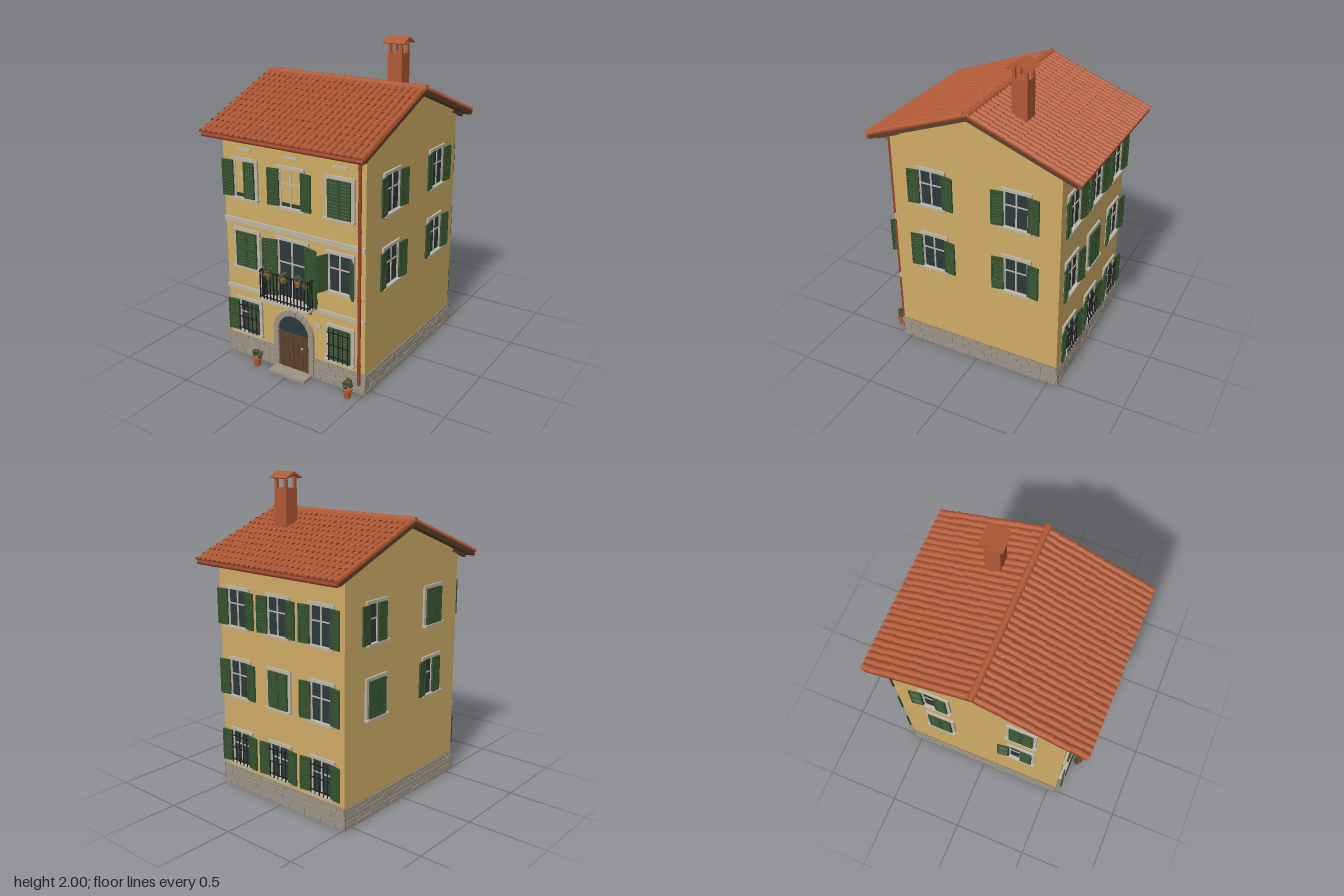
import * as THREE from 'three';
import { mergeGeometries } from 'three/addons/utils/BufferGeometryUtils.js';

const mat = (name, color, side = THREE.FrontSide) => {
  const m = new THREE.MeshStandardMaterial({ color, side });
  m.name = name;
  return m;
};

export function createModel() {
  const house = new THREE.Group();
  house.name = 'house';
  const M = {
    wall: mat('ochre plaster', 0xcfac66),
    stone: mat('grey stone', 0x9d9385),
    mortar: mat('dark mortar', 0x756c60),
    trim: mat('pale trim', 0xbeb6a8),
    green: mat('shutter green', 0x35522f),
    glass: mat('dark glass', 0x2c393c),
    wood: mat('brown wood', 0x5b4029),
    iron: mat('black iron', 0x20211f),
    tile: mat('terracotta tile', 0xb05835, THREE.DoubleSide),
    red: mat('rust red', 0x98432a),
  };
  let seed = 7;
  const rnd = () => (seed = (seed * 16807) % 2147483647) / 2147483647;

  const add = (parent, name, geo, material, x = 0, y = 0, z = 0) => {
    const m = new THREE.Mesh(geo, material);
    m.name = name;
    m.position.set(x, y, z);
    parent.add(m);
    return m;
  };
  const box = (p, name, material, w, h, d, x, y, z) => add(p, name, new THREE.BoxGeometry(w, h, d), material, x, y, z);
  const boxGeo = (w, h, d, x, y, z, rx = 0) => new THREE.BoxGeometry(w, h, d).rotateX(rx).translate(x, y, z);
  const group = (parent, name, x = 0, y = 0, z = 0, ry = 0) => {
    const g = new THREE.Group();
    g.name = name;
    g.position.set(x, y, z);
    g.rotation.y = ry;
    parent.add(g);
    return g;
  };

  const HX = 0.503, HZ = 0.555, SLOPE = Math.atan(0.38);

  // Plaster walls with gables, one solid along x
  const profile = new THREE.Shape();
  profile.moveTo(-HZ, 0.002).lineTo(HZ, 0.002).lineTo(HZ, 1.515).lineTo(0, 1.724).lineTo(-HZ, 1.515);
  add(house, 'walls', new THREE.ExtrudeGeometry(profile, { depth: 2 * HX, bevelEnabled: false })
    .translate(0, 0, -HX).rotateY(Math.PI / 2), M.wall);

  // One group per facade: local x runs along the wall, local z points outward
  const facades = {
    front: group(house, 'frontFacade', 0, 0, HZ, 0),
    back: group(house, 'backFacade', 0, 0, -HZ, Math.PI),
    left: group(house, 'leftFacade', HX, 0, 0, Math.PI / 2),
    right: group(house, 'rightFacade', -HX, 0, 0, -Math.PI / 2),
  };

  // Stone plinth: mortar bed with irregular courses
  const plinth = (f, x0, x1) => {
    box(f, 'plinthBed', M.mortar, x1 - x0, 0.134, 0.006, (x0 + x1) / 2, 0.067, 0.003);
    const stones = [];
    const rows = [0.03, 0.022, 0.032, 0.024, 0.027];
    let y = 0;
    for (const h of rows) {
      for (let x = x0; x < x1 - 0.001;) {
        let w = 0.05 + rnd() * 0.09;
        if (x1 - x - w < 0.04) w = x1 - x;
        const d = 0.009 + rnd() * 0.004;
        stones.push(boxGeo(w - 0.003, h - 0.003, d, x + w / 2, y + h / 2, d / 2));
        x += w;
      }
      y += h;
    }
    add(f, 'plinthStones', mergeGeometries(stones), M.stone);
  };
  plinth(facades.front, -0.514, -0.143);
  plinth(facades.front, 0.143, 0.514);
  plinth(facades.back, -0.514, 0.514);
  plinth(facades.left, -0.565, 0.565);
  plinth(facades.right, -0.565, 0.565);

  // Louvred shutter leaf, hinged at local x = 0 and reaching toward dir
  const leafGeo = (w, h, dir) => {
    const x = dir * w / 2, parts = [boxGeo(w - 0.004, h, 0.004, x, 0, 0)];
    for (const s of [-1, 1]) {
      parts.push(boxGeo(0.01, h, 0.011, x + s * (w / 2 - 0.006), 0, 0));
      parts.push(boxGeo(w - 0.003, 0.014, 0.011, x, s * (h / 2 - 0.007), 0));
    }
    parts.push(boxGeo(w - 0.003, 0.012, 0.011, x, 0, 0));
    const n = Math.round(h / 0.019);
    for (let i = 1; i < n; i++) parts.push(boxGeo(w - 0.02, 0.011, 0.003, x, -h / 2 + (i * h) / n, 0, -0.6));
    return mergeGeometries(parts);
  };

  // Window: frame, panes, sill, optional bars; shutter angles in degrees (0 closed, 172 open)
  const windowAt = (f, u, y0, y1, a = 172, b = 172, o = {}) => {
    const w = o.w || 0.155, h = y1 - y0, g = group(f, 'window', u, y0, 0);
    box(g, 'pane', o.bright ? M.wall : M.glass, w, h, 0.004, 0, h / 2, 0.003);
    if (o.bright) box(g, 'paneFoot', M.glass, w * 0.85, 0.022, 0.004, 0, 0.012, 0.006);
    for (const s of [-1, 1]) {
      box(g, 'frameSide', M.trim, 0.02, h + 0.02, 0.013, s * (w / 2 + 0.01), h / 2 + 0.01, 0.0065);
      box(g, 'sash', M.trim, 0.008, h, 0.008, s * (w / 2 - 0.004), h / 2, 0.005);
    }
    box(g, 'lintel', M.trim, w + 0.04, 0.02, 0.013, 0, h + 0.01, 0.0065);
    box(g, 'mullion', M.trim, 0.01, h, 0.008, 0, h / 2, 0.006);
    box(g, 'transom', M.trim, w, 0.008, 0.008, 0, h * 0.62, 0.006);
    if (!o.door) box(g, 'sill', M.trim, w + 0.05, 0.014, 0.03, 0, -0.007, 0.015);
    for (const [s, ang] of [[-1, a], [1, b]]) {
      const leaf = add(g, 'shutter', leafGeo(w / 2, h, -s), M.green, s * w / 2, h / 2, 0.019);
      leaf.rotation.y = s * THREE.MathUtils.degToRad(ang);
    }
    if (o.bars) {
      const bars = [];
      for (let i = -2; i <= 2; i++) bars.push(boxGeo(0.005, h, 0.005, i * w * 0.21, h / 2, 0.032));
      for (const k of [0.12, 0.5, 0.88]) bars.push(boxGeo(w, 0.005, 0.006, 0, h * k, 0.032));
      add(g, 'windowBars', mergeGeometries(bars), M.iron);
    }
  };
  const TOP = [1.083, 1.308], MID = [0.632, 0.858], LOW = [0.18, 0.39];
  const C = 0.337, F = facades.front;
  windowAt(F, -C, ...TOP, 172, 0, { bright: true });
  windowAt(F, 0, ...TOP, 172, 172, { bright: true });
  windowAt(F, C, ...TOP, 0, 0);
  windowAt(F, -C, ...MID, 0, 0);
  windowAt(F, 0, 0.5, 0.865, 165, 165, { w: 0.2, door: true });
  windowAt(F, C, ...MID, 112, 132);
  windowAt(F, -C, ...LOW, 172, 0, { bars: true });
  windowAt(F, C, ...LOW, 0, 0, { bars: true });
  for (const x of [-C, 0, C]) {
    windowAt(facades.back, x, ...TOP);
    windowAt(facades.back, x, ...MID, x ? 172 : 0, x ? 172 : 0);
    windowAt(facades.back, x, ...LOW, 172, 172, { bars: true });
    box(F, 'eaveVent', M.trim, 0.1, 0.013, 0.008, x, 1.38, 0.004);
  }
  for (const x of [-0.28, 0.28]) {
    windowAt(facades.left, x, ...TOP);
    windowAt(facades.left, x, ...MID);
  }
  windowAt(facades.right, -0.28, ...TOP, 172, 0);
  windowAt(facades.right, 0.28, ...TOP, 0, 0);
  windowAt(facades.right, -0.28, ...MID, 0, 0);
  windowAt(facades.right, 0.28, ...MID, 172, 0);

  // String courses
  box(F, 'upperStringCourse', M.trim, 1.01, 0.032, 0.014, 0, 0.923, 0.007);
  box(F, 'lowerStringCourse', M.trim, 1.01, 0.024, 0.014, 0, 0.474, 0.007);

  // Arched doorway: jamb blocks, voussoirs, fanlight, plank door and step
  const door = group(F, 'doorway');
  const R = 0.113, RO = 0.147, SP = 0.268;
  const fan = new THREE.Shape();
  fan.moveTo(R, 0).absarc(0, SP, R, 0, Math.PI, false).lineTo(-R, 0);
  add(door, 'fanlight', new THREE.ExtrudeGeometry(fan, { depth: 0.005, bevelEnabled: false }), M.glass);
  for (let i = 0; i < 9; i++) {
    const a0 = (i * Math.PI) / 9 + 0.015, a1 = ((i + 1) * Math.PI) / 9 - 0.015;
    const s = new THREE.Shape();
    s.absarc(0, SP, RO, a0, a1, false).absarc(0, SP, R, a1, a0, true);
    add(door, 'archStone', new THREE.ExtrudeGeometry(s, { depth: 0.018, bevelEnabled: false, curveSegments: 4 }), M.stone);
  }
  for (const s of [-1, 1]) {
    for (let i = 0; i < 4; i++) box(door, 'jambStone', M.stone, RO - R, 0.064, 0.018, s * (R + RO) / 2, 0.033 + i * 0.067, 0.009);
    for (let i = 0; i < 3; i++) box(door, 'doorPlank', M.wood, 0.034, 0.235, 0.01, s * (0.019 + i * 0.036), 0.135, 0.007);
  }
  box(door, 'doorRail', M.wood, 0.224, 0.016, 0.014, 0, 0.25, 0.008);
  add(door, 'doorKnob', new THREE.SphereGeometry(0.007, 8, 6), M.trim, 0.065, 0.18, 0.016);
  box(door, 'doorStep', M.stone, 0.27, 0.02, 0.1, 0, 0.01, 0.05);
  box(F, 'plaque', M.trim, 0.045, 0.03, 0.006, 0.172, 0.365, 0.004);

  // Plant: leaf tufts with small blossoms
  const plant = (p, x, y, z, r) => {
    const leaves = [], blooms = [];
    for (let i = 0; i < 9; i++) {
      const a = i * 2.4, d = r * (0.35 + 0.5 * rnd()), h = r * (rnd() * 1.3 - 0.2);
      leaves.push(new THREE.IcosahedronGeometry(r * 0.45, 0).translate(Math.cos(a) * d, h, Math.sin(a) * d));
      if (i % 2) blooms.push(new THREE.IcosahedronGeometry(r * 0.26, 0).translate(Math.cos(a) * d * 1.3, h + r * 0.4, Math.sin(a) * d * 1.3));
    }
    add(p, 'leaves', mergeGeometries(leaves), M.green, x, y, z);
    add(p, 'blossoms', mergeGeometries(blooms), M.red, x, y, z);
  };
  const pot = (p, x, y, z, r, h) => {
    add(p, 'pot', new THREE.CylinderGeometry(r, r * 0.72, h, 12), M.tile, x, y + h / 2, z);
    add(p, 'potRim', new THREE.CylinderGeometry(r * 1.15, r * 1.15, h * 0.2, 12), M.tile, x, y + h * 0.9, z);
    plant(p, x, y + h * 1.2, z, r * 1.25);
  };
  pot(house, -0.24, 0, 0.63, 0.026, 0.062);
  pot(house, 0.43, 0, 0.63, 0.026, 0.062);

  // Balcony with railing, brackets and hanging pots
  const bal = group(F, 'balcony');
  box(bal, 'balconySlab', M.trim, 0.36, 0.016, 0.108, 0, 0.491, 0.054);
  const rail = [boxGeo(0.352, 0.008, 0.008, 0, 0.68, 0.1), boxGeo(0.352, 0.006, 0.006, 0, 0.515, 0.1)];
  for (let i = 0; i <= 14; i++) rail.push(boxGeo(0.006, 0.18, 0.006, -0.173 + i * 0.0247, 0.59, 0.1));
  for (const s of [-1, 1]) {
    rail.push(boxGeo(0.008, 0.008, 0.1, s * 0.173, 0.68, 0.05), boxGeo(0.006, 0.006, 0.1, s * 0.173, 0.515, 0.05));
    for (let i = 0; i < 4; i++) rail.push(boxGeo(0.006, 0.18, 0.006, s * 0.173, 0.59, 0.01 + i * 0.023));
  }
  add(bal, 'railing', mergeGeometries(rail), M.iron);
  for (const x of [-0.125, 0, 0.125]) {
    box(bal, 'bracket', M.iron, 0.014, 0.012, 0.075, x, 0.455, 0.035).rotation.x = -0.6;
    pot(bal, x * 0.88, 0.645, 0.108, 0.018, 0.035);
    plant(bal, x * 1.1 + 0.02, 0.655, 0.115, 0.018);
  }

  // Roof: mirrored slopes with boards, rafters, gutter and rows of barrel tiles
  const barrel = (r0, r1, len) => new THREE.CylinderGeometry(r1, r0, len, 7, 1, true, Math.PI / 2, Math.PI).rotateX(Math.PI / 2);
  const COLS = 27, ROWS = 12, PITCH = 1.125 / COLS, STEP = 0.0602;
  for (const ry of [0, Math.PI]) {
    const side = group(house, 'roofSide', 0, 1.737, 0, ry);
    const slope = group(side, 'roofSlope');
    slope.rotation.x = SLOPE;
    box(slope, 'roofBoards', M.wood, 1.12, 0.024, 0.715, 0, -0.012, 0.357);
    box(slope, 'tileBed', M.red, 1.13, 0.006, 0.718, 0, 0.003, 0.359);
    for (let i = 0; i < 11; i++) box(slope, 'rafter', M.wood, 0.022, 0.022, 0.16, -0.5 + i * 0.1, -0.033, 0.62);
    const tiles = [];
    for (let c = 0; c < COLS; c++) {
      for (let r = 0; r < ROWS; r++) {
        tiles.push(barrel(0.0165, 0.0215, 0.074).rotateX(-0.05).rotateY((rnd() - 0.5) * 0.06)
          .translate((c - (COLS - 1) / 2) * PITCH + (rnd() - 0.5) * 0.006, 0.005 + rnd() * 0.002, 0.035 + r * STEP));
      }
    }
    add(slope, 'barrelTiles', mergeGeometries(tiles), M.tile);
    const gutter = add(side, 'gutter', new THREE.CylinderGeometry(0.013, 0.013, 1.11, 10), M.red, 0, -0.267, 0.672);
    gutter.rotation.z = Math.PI / 2;
  }
  for (let i = 0; i < 14; i++) {
    add(house, 'ridgeTile', barrel(0.02, 0.023, 0.09).rotateY(Math.PI / 2), M.tile, -0.52 + i * 0.08, 1.744, 0);
  }

  // Downpipe from the front gutter
  const path = new THREE.CurvePath();
  const pts = [[1.462, 0.672], [1.45, 0.578], [0.07, 0.578]].map(([y, z]) => new THREE.Vector3(0.476, y, z));
  for (let i = 0; i < 2; i++) path.add(new THREE.LineCurve3(pts[i], pts[i + 1]));
  add(house, 'downpipe', new THREE.TubeGeometry(path, 40, 0.01, 8), M.red);
  for (const y of [0.2, 0.62, 1.04, 1.4]) add(house, 'pipeClamp', new THREE.CylinderGeometry(0.013, 0.013, 0.012, 8), M.red, 0.476, y, 0.578);

  // Chimney: shaft, corner posts and small gabled cap
  const ch = group(house, 'chimney', 0.268, 0, -0.202);
  box(ch, 'shaft', M.tile, 0.098, 0.28, 0.098, 0, 1.76, 0);
  for (const sx of [-1, 1]) for (const sz of [-1, 1]) box(ch, 'capPost', M.tile, 0.018, 0.075, 0.018, sx * 0.038, 1.932, sz * 0.038);
  const cap = new THREE.Shape();
  cap.moveTo(-0.073, 1.962).lineTo(-0.06, 1.957).lineTo(0, 1.985).lineTo(0.06, 1.957).lineTo(0.073, 1.962).lineTo(0, 2);
  add(ch, 'chimneyCap', new THREE.ExtrudeGeometry(cap, { depth: 0.145, bevelEnabled: false })
    .translate(0, 0, -0.0725).rotateY(Math.PI / 2), M.tile);

  return house;
}
